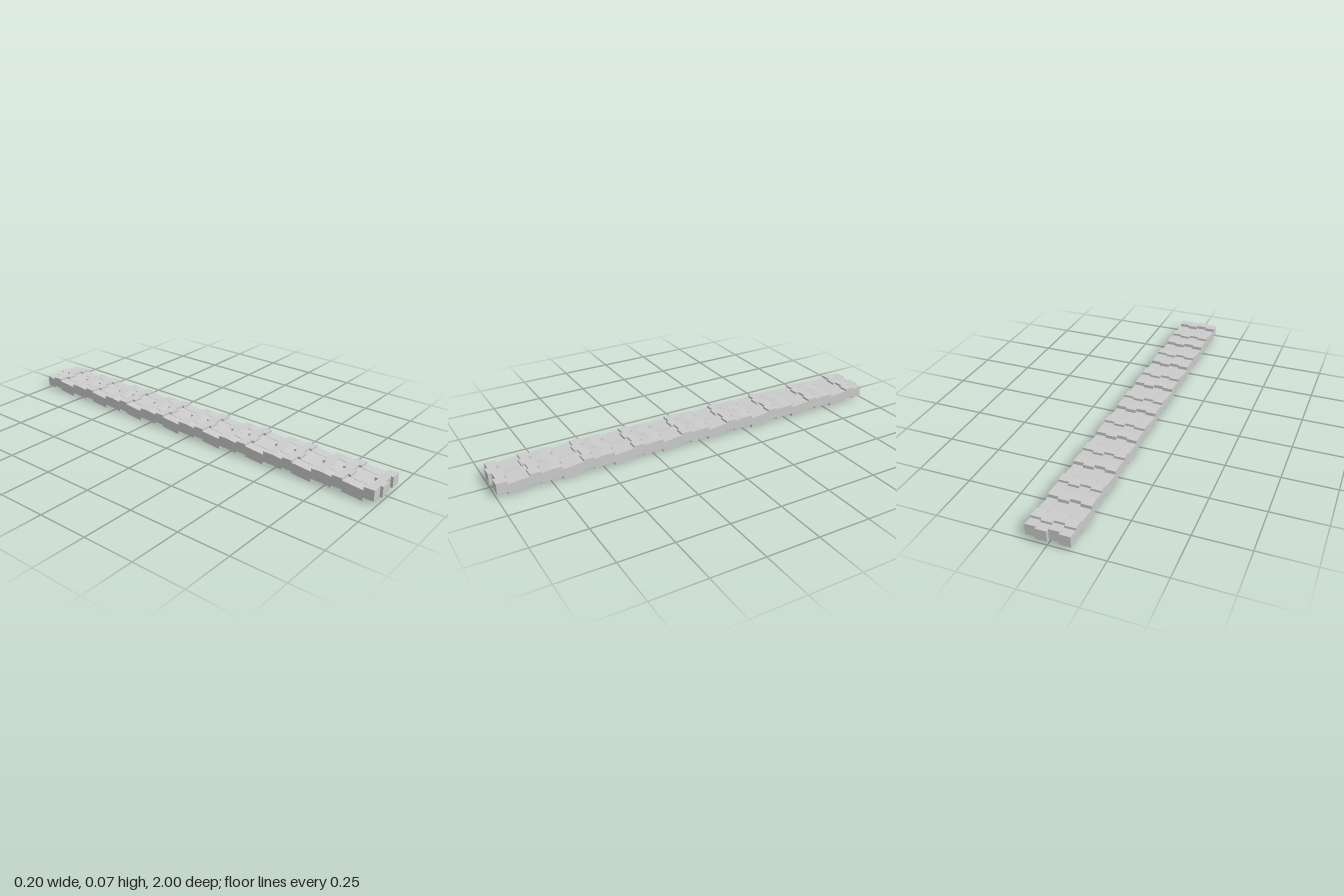
import * as THREE from 'three';

const PERIOD = 0.248, REPEATS = 8, THICKNESS = 0.051, WIDTH = 0.05;

// One repeat of the underside, as [distance back from the start in fifths, height]
const WAVE = [
  [0, 0.016], [1, 0.016],            // end of the middle tread
  [1, 0], [3, 0.01],                 // low tread, rising gently
  [3, 0.02], [4, 0.02],              // high tread
  [4, 0.009], [5, 0.016],            // start of the middle tread
];

// Closed side outline (z, y): underside, then the same line lifted by the thickness
function sideOutline(frontZ) {
  const line = [];
  for (let i = 0; i < REPEATS; i++) {
    for (const [step, y] of WAVE) {
      if (i > 0 && step === 0) continue;
      line.push(new THREE.Vector2(frontZ - (i + step / 5) * PERIOD, y));
    }
  }
  const top = line.map((p) => new THREE.Vector2(p.x, p.y + THICKNESS)).reverse();
  return new THREE.Shape([...line, ...top]);
}

export function createModel() {
  const group = new THREE.Group();
  group.name = 'steppedStrip';
  const material = new THREE.MeshStandardMaterial({ color: 0xcccccc, flatShading: true });

  // Four columns side by side, each shifted a little along the strip
  [0.987, 1.0, 0.984, 0.996].forEach((frontZ, i) => {
    const geometry = new THREE.ExtrudeGeometry(sideOutline(frontZ), { depth: WIDTH, bevelEnabled: false });
    geometry.rotateY(-Math.PI / 2);
    geometry.translate(-0.1 + (i + 1) * WIDTH, 0, 0);
    const column = new THREE.Mesh(geometry, material);
    column.name = `column${i + 1}`;
    group.add(column);
  });
  return group;
}
